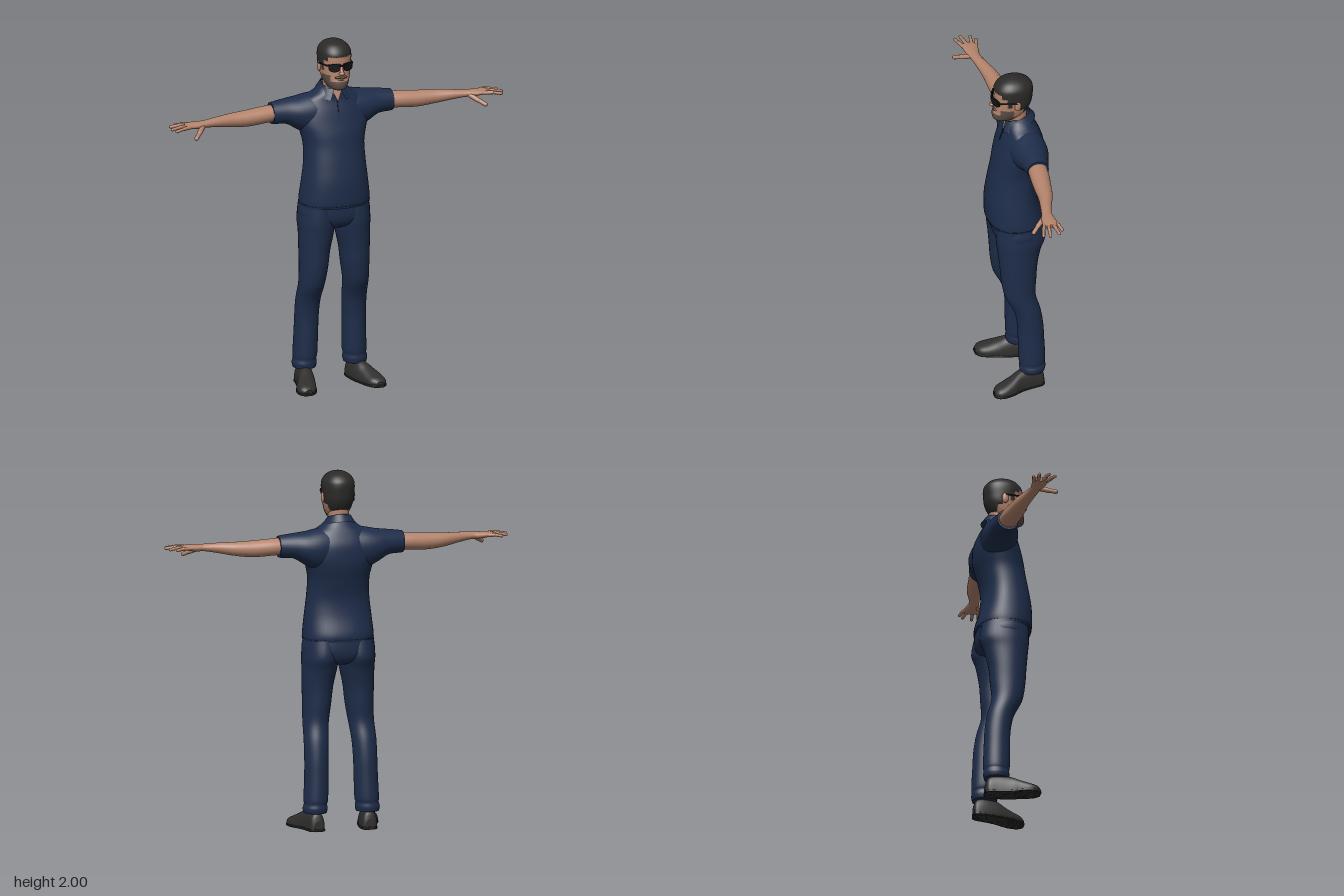
import * as THREE from 'three';

const mat = (name, color, side = THREE.FrontSide) => {
  const m = new THREE.MeshStandardMaterial({ color, side });
  m.name = name;
  return m;
};

// Axis maps for lofts: (section u, distance s, section v) -> position
const UP = (u, s, v) => [u, s, v];
const SIDE = (u, s, v) => [s, v, u];
const AHEAD = (u, s, v) => [v, Math.max(u, 0), s];

// Smooth values between rows
function smoothRows(rows, k) {
  const out = [];
  for (let i = 0; i < rows.length - 1; i++) {
    const p = rows[Math.max(i - 1, 0)], a = rows[i], b = rows[i + 1], q = rows[Math.min(i + 2, rows.length - 1)];
    for (let j = 0; j < k; j++) {
      const t = j / k;
      out.push(a.map((v, c) => {
        const cubic = 3 * (v - b[c]) + q[c] - p[c];
        const square = 2 * p[c] - 5 * v + 4 * b[c] - q[c];
        return v + 0.5 * t * (b[c] - p[c] + t * (square + t * cubic));
      }));
    }
  }
  out.push(rows[rows.length - 1]);
  return out;
}

// Row: [distance, centre u, centre v, radius u, radius +v, radius -v]
function loft(rows, map = UP, { n = 32, k = 5, power = 2, tweak = null } = {}) {
  const pos = [], idx = [], rings = smoothRows(rows, k);
  const bend = (x) => Math.sign(x) * Math.pow(Math.abs(x), 2 / power);
  const ring = ([s, cu, cv, ru, rp, rm]) => {
    for (let j = 0; j < n; j++) {
      const a = (j / n) * Math.PI * 2, sv = bend(Math.sin(a));
      const p = map(cu + ru * bend(Math.cos(a)), s, cv + sv * (sv > 0 ? rp : rm));
      if (tweak) tweak(p);
      pos.push(...p);
    }
  };
  rings.forEach(ring);
  for (let i = 0; i < rings.length - 1; i++) {
    for (let j = 0; j < n; j++) {
      const a = i * n + j, b = i * n + ((j + 1) % n);
      idx.push(a, a + n, b, b, a + n, b + n);
    }
  }
  // End caps with their own corners, so the rims stay sharp
  [rings[0], rings[rings.length - 1]].forEach((r, end) => {
    const o = pos.length / 3;
    ring(r);
    pos.push(...map(r[1], r[0], r[2]));
    for (let j = 0; j < n; j++) {
      const b = o + ((j + 1) % n);
      idx.push(o + n, ...(end ? [b, o + j] : [o + j, b]));
    }
  });
  const g = new THREE.BufferGeometry();
  g.setAttribute('position', new THREE.Float32BufferAttribute(pos, 3));
  g.setIndex(idx);
  g.computeVertexNormals();
  return g;
}

function mirrored(g) {
  const m = g.clone().scale(-1, 1, 1), ix = m.index.array;
  for (let i = 0; i < ix.length; i += 3) [ix[i], ix[i + 1]] = [ix[i + 1], ix[i]];
  return m;
}

// Rounded bar between two points
function bar(a, b, r) {
  const A = new THREE.Vector3(...a), d = new THREE.Vector3(...b).sub(A);
  const q = new THREE.Quaternion().setFromUnitVectors(new THREE.Vector3(0, 1, 0), d.clone().normalize());
  const c = A.addScaledVector(d, 0.5);
  return new THREE.CapsuleGeometry(r, d.length(), 5, 10).applyQuaternion(q).translate(c.x, c.y, c.z);
}
const ball = (x, y, z, rx, ry, rz) => new THREE.SphereGeometry(1, 20, 14).scale(rx, ry, rz).translate(x, y, z);

export function createModel() {
  const model = new THREE.Group();
  model.name = 'standingMan';
  const navy = mat('navyCloth', 0x1e2d4a, THREE.DoubleSide), seam = mat('darkSeam', 0x131d31);
  const skin = mat('skin', 0xb5846c), hair = mat('hair', 0x2b2a29), beard = mat('beard', 0x5e4e46);
  const shoe = mat('shoeLeather', 0x302f2e), sole = mat('sole', 0x1d1d1d);
  const black = mat('glasses', 0x111214), lip = mat('lip', 0x96685a);
  const add = (name, g, m) => {
    const mesh = new THREE.Mesh(g, m);
    mesh.name = name;
    model.add(mesh);
  };
  const pair = (name, g, m) => {
    add(name + 'Left', g, m);
    add(name + 'Right', mirrored(g), m);
  };

  // Shirt
  add('shirtBody', loft([
    [1.058, 0, 0, 0.198, 0.15, 0.155], [1.1, 0, 0, 0.198, 0.156, 0.156], [1.2, 0, 0, 0.187, 0.155, 0.128],
    [1.3, 0, 0, 0.176, 0.14, 0.12], [1.4, 0, -0.01, 0.173, 0.13, 0.13], [1.47, 0, -0.02, 0.187, 0.127, 0.139],
    [1.53, 0, -0.03, 0.203, 0.12, 0.135], [1.6, 0, -0.04, 0.195, 0.11, 0.12], [1.66, 0, -0.04, 0.165, 0.09, 0.095],
    [1.7, 0, -0.035, 0.105, 0.08, 0.078], [1.735, 0, -0.03, 0.07, 0.055, 0.065],
  ], UP, { n: 48, power: 2.25 }), navy);
  pair('sleeve', loft([
    [0.05, -0.045, 1.585, 0.1, 0.11, 0.1], [0.13, -0.052, 1.58, 0.104, 0.108, 0.125],
    [0.2, -0.055, 1.585, 0.096, 0.09, 0.1], [0.27, -0.055, 1.592, 0.077, 0.075, 0.066],
    [0.34, -0.052, 1.595, 0.063, 0.063, 0.063], [0.356, -0.051, 1.595, 0.061, 0.06, 0.06],
  ], SIDE), navy);
  add('shirtHem', loft([[1.069, 0, 0, 0.2, 0.153, 0.158], [1.073, 0, 0, 0.2, 0.154, 0.158]], UP, { n: 48, k: 1, power: 2.25 }), seam);
  add('placket', new THREE.BoxGeometry(0.005, 0.075, 0.006).rotateX(-0.3).translate(0, 1.622, 0.064), seam);
  const vee = new THREE.Shape([[0, 1.655], [0.033, 1.73], [-0.033, 1.73]].map((p) => new THREE.Vector2(...p)));
  add('openNeck', new THREE.ExtrudeGeometry(vee, { depth: 0.008, bevelEnabled: false })
    .translate(0, -1.655, 0).rotateX(-0.3).translate(0, 1.655, 0.051), skin);

  // Folded collar: an open band, low and pointed in front
  const collar = new THREE.PlaneGeometry(1, 1, 40, 3), cp = collar.attributes.position;
  for (let i = 0; i < cp.count; i++) {
    const f = cp.getX(i) * 2, t = 0.5 - cp.getY(i), a = f * (2.85 - 0.22 * t);
    const front = (1 - Math.cos(a)) / 2, r = 0.066 + 0.03 * t;
    cp.setXYZ(i, Math.sin(a) * r, 1.768 - 0.045 * front - t * (0.04 + 0.025 * front), -0.022 - Math.cos(a) * (r + 0.006));
  }
  collar.computeVertexNormals();
  add('collar', collar, navy);

  // Trousers
  add('trouserSeat', loft([
    [0.925, 0, -0.005, 0.04, 0.07, 0.09], [0.95, 0, -0.005, 0.14, 0.11, 0.13],
    [1.0, 0, -0.005, 0.203, 0.13, 0.148], [1.08, 0, -0.005, 0.192, 0.13, 0.145],
  ], UP, { n: 40, power: 2.3 }), navy);
  pair('trouserLeg', loft([
    [0.1, 0.15, -0.07, 0.064, 0.068, 0.07], [0.125, 0.15, -0.07, 0.069, 0.072, 0.075], [0.15, 0.148, -0.07, 0.064, 0.07, 0.072],
    [0.18, 0.146, -0.07, 0.068, 0.074, 0.075], [0.3, 0.142, -0.066, 0.067, 0.073, 0.074], [0.4, 0.14, -0.06, 0.067, 0.07, 0.075],
    [0.5, 0.137, -0.045, 0.069, 0.075, 0.075], [0.6, 0.13, -0.01, 0.072, 0.088, 0.084], [0.7, 0.122, 0, 0.079, 0.097, 0.1],
    [0.8, 0.117, 0, 0.086, 0.105, 0.108], [0.9, 0.107, 0, 0.097, 0.115, 0.13], [0.97, 0.104, -0.005, 0.102, 0.127, 0.15],
    [1.065, 0.1, -0.01, 0.098, 0.13, 0.13],
  ]), navy);

  // Shoes
  const shoeRows = [
    [-0.135, 0.02, 0.148, 0.04, 0.025, 0.025], [-0.12, 0.02, 0.15, 0.08, 0.041, 0.041], [-0.07, 0.02, 0.154, 0.1, 0.047, 0.046],
    [0, 0.02, 0.167, 0.09, 0.051, 0.05], [0.05, 0.02, 0.185, 0.065, 0.058, 0.056], [0.1, 0.02, 0.2, 0.044, 0.058, 0.056],
    [0.14, 0.02, 0.208, 0.03, 0.046, 0.045], [0.162, 0.02, 0.212, 0.012, 0.02, 0.02],
  ];
  pair('shoe', loft(shoeRows, AHEAD, { power: 2.3 }), shoe);
  pair('shoeSole', loft(shoeRows.map(([z, , x, , p, m]) => [z * 1.015, 0.008, x, 0.009, p + 0.003, m + 0.003]), AHEAD, { power: 4 }), sole);

  // Arms, hands and fingers
  pair('arm', loft([
    [0.32, -0.05, 1.597, 0.052, 0.046, 0.046], [0.4, -0.046, 1.594, 0.054, 0.046, 0.048], [0.5, -0.038, 1.589, 0.049, 0.044, 0.048],
    [0.6, -0.028, 1.592, 0.041, 0.036, 0.041], [0.7, -0.005, 1.598, 0.032, 0.026, 0.029], [0.77, 0.01, 1.6, 0.029, 0.019, 0.021],
    [0.81, 0.014, 1.6, 0.036, 0.018, 0.022], [0.86, 0.016, 1.602, 0.043, 0.015, 0.017], [0.895, 0.018, 1.602, 0.04, 0.011, 0.011],
  ], SIDE, { n: 28 }), skin);
  const fingers = [
    [[0.87, 1.602, 0.05], [0.915, 1.603, 0.066], [0.962, 1.596, 0.078]],
    [[0.87, 1.602, 0.027], [0.93, 1.605, 0.036], [0.976, 1.598, 0.042]],
    [[0.87, 1.602, 0.004], [0.92, 1.605, -0.004], [0.965, 1.598, -0.011]],
    [[0.86, 1.6, -0.016], [0.895, 1.602, -0.027], [0.932, 1.596, -0.036]],
    [[0.79, 1.594, 0.03], [0.828, 1.57, 0.075], [0.858, 1.552, 0.107]],
  ];
  fingers.forEach(([a, b, c], i) => {
    const name = i === 4 ? 'thumb' : 'finger' + (i + 1), r = i === 4 ? 0.014 : 0.0105;
    pair(name + 'Base', bar(a, b, r), skin);
    pair(name + 'Tip', bar(b, c, r * 0.85), skin);
  });

  // Neck and head
  add('neck', loft([
    [1.66, 0, -0.03, 0.06, 0.06, 0.055], [1.72, 0, -0.02, 0.057, 0.06, 0.058], [1.83, 0, -0.01, 0.06, 0.06, 0.068],
  ]), skin);
  const hairline = (z) => (z > 0.078 ? 1.925 : z > 0.05 ? 1.9 : z > 0.025 ? 1.845 : z > -0.02 ? 1.872 : z > -0.045 ? 1.82 : 1.785);
  const isHair = (y, z) => y > hairline(z);
  const isBeard = (y, z) => z > 0.012 && y < (z < 0.085 ? 1.82 : 1.785);
  const head = loft([
    [1.73, 0, 0.05, 0.03, 0.045, 0.04], [1.742, 0, 0.04, 0.05, 0.074, 0.06], [1.77, 0, 0.02, 0.067, 0.099, 0.078],
    [1.8, 0, 0.01, 0.077, 0.102, 0.092], [1.84, 0, 0, 0.084, 0.108, 0.1], [1.88, 0, 0, 0.087, 0.106, 0.106],
    [1.92, 0, 0, 0.088, 0.105, 0.108], [1.95, 0, 0, 0.082, 0.094, 0.101], [1.978, 0, 0, 0.06, 0.068, 0.075],
    [1.994, 0, 0, 0.029, 0.032, 0.037], [1.998, 0, 0, 0.003, 0.003, 0.003],
  ], UP, {
    n: 64, k: 6, power: 2.15,
    tweak: (p) => {
      if (!isHair(p[1], p[2])) return;
      p[0] *= 1.035; p[2] *= 1.035; p[1] += 0.002;
    },
  });
  // Sort head faces into skin, hair and beard groups
  const sets = [[], [], []], hp = head.attributes.position, ix = head.index.array;
  for (let i = 0; i < ix.length; i += 3) {
    const tri = [ix[i], ix[i + 1], ix[i + 2]];
    const y = tri.reduce((s, v) => s + hp.getY(v), 0) / 3, z = tri.reduce((s, v) => s + hp.getZ(v), 0) / 3;
    sets[isHair(y, z) ? 1 : isBeard(y, z) ? 2 : 0].push(...tri);
  }
  head.setIndex(sets.flat());
  let start = 0;
  sets.forEach((s, i) => { head.addGroup(start, s.length, i); start += s.length; });
  add('head', head, [skin, hair, beard]);

  // Face details
  add('noseBridge', bar([0, 1.872, 0.104], [0, 1.838, 0.12], 0.01), skin);
  add('noseTip', ball(0, 1.834, 0.12, 0.016, 0.011, 0.015), skin);
  pair('moustache', ball(0.015, 1.808, 0.103, 0.021, 0.008, 0.014), beard);
  add('mouth', ball(0, 1.793, 0.108, 0.02, 0.005, 0.008), lip);
  pair('ear', ball(0.088, 1.853, -0.006, 0.01, 0.03, 0.018), skin);

  // Sunglasses
  const lens = new THREE.CylinderGeometry(1, 1, 0.007, 28).rotateX(Math.PI / 2).scale(0.034, 0.024, 1);
  lens.rotateY(0.42).translate(0.04, 1.867, 0.109);
  pair('lens', lens, black);
  add('glassesBridge', new THREE.BoxGeometry(0.032, 0.008, 0.008).translate(0, 1.877, 0.119), black);
  pair('browBar', bar([0.01, 1.886, 0.119], [0.072, 1.884, 0.094], 0.004), black);
  pair('temple', bar([0.074, 1.879, 0.092], [0.093, 1.874, 0], 0.004), black);
  return model;
}
